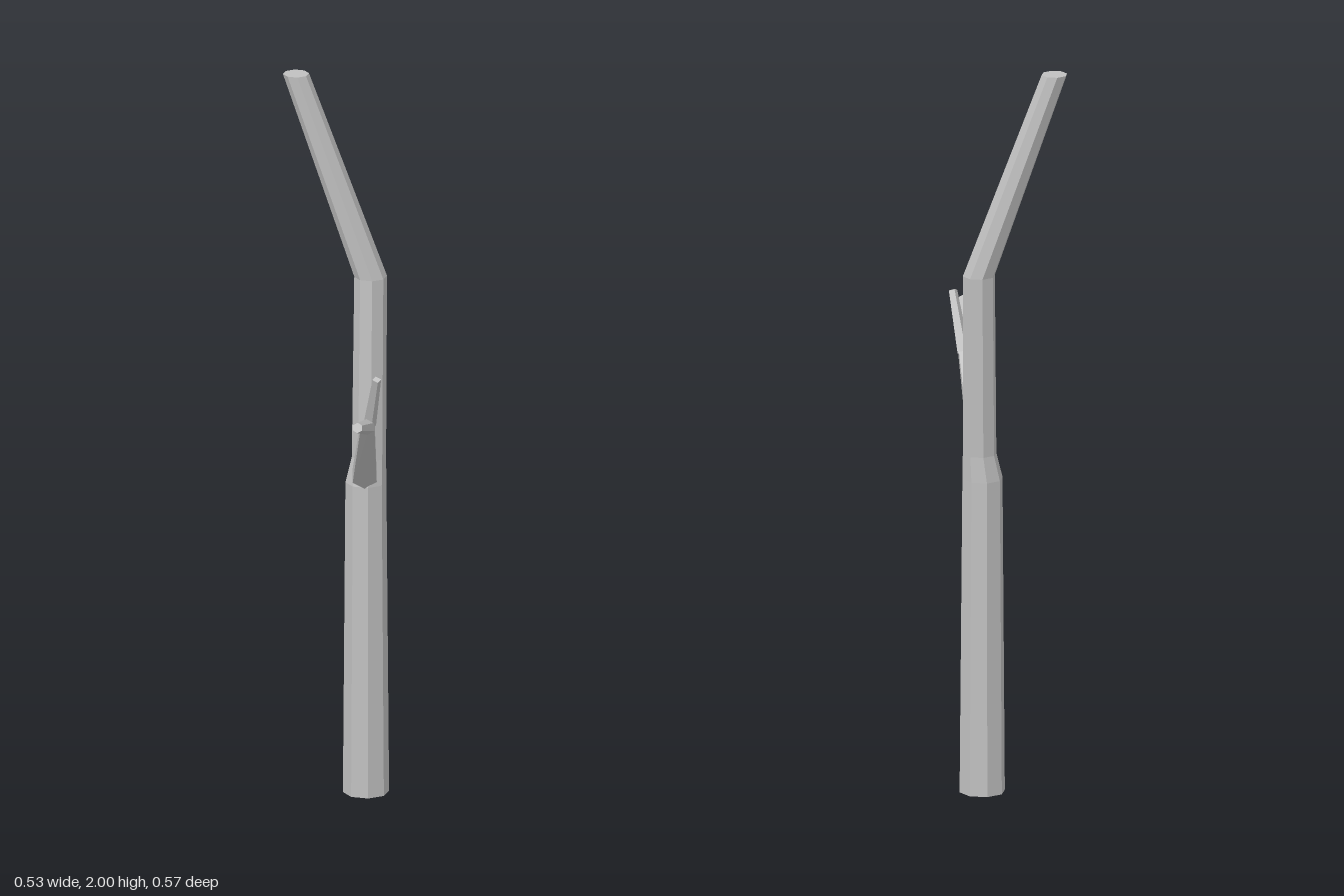
import * as THREE from 'three';

// Faceted limb through rings [x, y, z, radius]; level keeps every ring horizontal
function limb(rings, sides, level) {
  const centres = rings.map(([x, y, z]) => new THREE.Vector3(x, y, z));
  const last = rings.length - 1;
  const up = level ? new THREE.Vector3(0, 0, 1) : new THREE.Vector3(0, 1, 0);
  const loops = rings.map((ring, i) => {
    const n = new THREE.Vector3(0, 1, 0);
    if (!level) {
      n.set(0, 0, 0);
      if (i > 0) n.add(centres[i].clone().sub(centres[i - 1]).normalize());
      if (i < last) n.add(centres[i + 1].clone().sub(centres[i]).normalize());
      n.normalize();
    }
    const u = new THREE.Vector3().crossVectors(up, n).normalize();
    const v = new THREE.Vector3().crossVectors(n, u);
    return Array.from({ length: sides }, (_, k) => {
      const a = Math.PI / 2 + (k / sides) * Math.PI * 2;
      return centres[i].clone()
        .addScaledVector(u, Math.cos(a) * ring[3])
        .addScaledVector(v, Math.sin(a) * ring[3]);
    });
  });
  const points = [];
  for (let k = 0; k < sides; k++) {
    const m = (k + 1) % sides;
    for (let i = 0; i < last; i++) {
      const [a, b, c, d] = [loops[i][k], loops[i][m], loops[i + 1][m], loops[i + 1][k]];
      points.push(a, b, c, a, c, d);
    }
    // End caps
    points.push(centres[0], loops[0][m], loops[0][k]);
    points.push(centres[last], loops[last][k], loops[last][m]);
  }
  const geometry = new THREE.BufferGeometry().setFromPoints(points);
  geometry.computeVertexNormals();
  return geometry;
}

export function createModel() {
  const bark = new THREE.MeshStandardMaterial({ color: 0xc0c0c0, flatShading: true });
  bark.name = 'greyBark';
  const group = new THREE.Group();
  group.name = 'bareTree';

  const add = (name, geometry) => {
    const mesh = new THREE.Mesh(geometry, bark);
    mesh.name = name;
    group.add(mesh);
  };

  // Trunk: straight below, narrowing at the branch, then bending back
  add('trunk', limb([
    [0.19, 0, -0.07, 0.062],
    [0.192, 0.87, -0.072, 0.055],
    [0.2, 0.94, -0.068, 0.046],
    [0.218, 1.44, -0.077, 0.044],
    [0.114, 2, -0.25, 0.035],
  ], 8, true));

  // Side branch with an elbow at the fork
  add('branch', limb([
    [0.18, 0.882, -0.067, 0.038],
    [-0.045, 1.127, 0.13, 0.022],
    [-0.257, 1.207, 0.271, 0.014],
  ], 6, false));

  // Small upright twig at the fork
  add('twig', limb([
    [-0.04, 1.13, 0.133, 0.018],
    [-0.087, 1.284, 0.197, 0.012],
  ], 4, false));

  return group;
}
